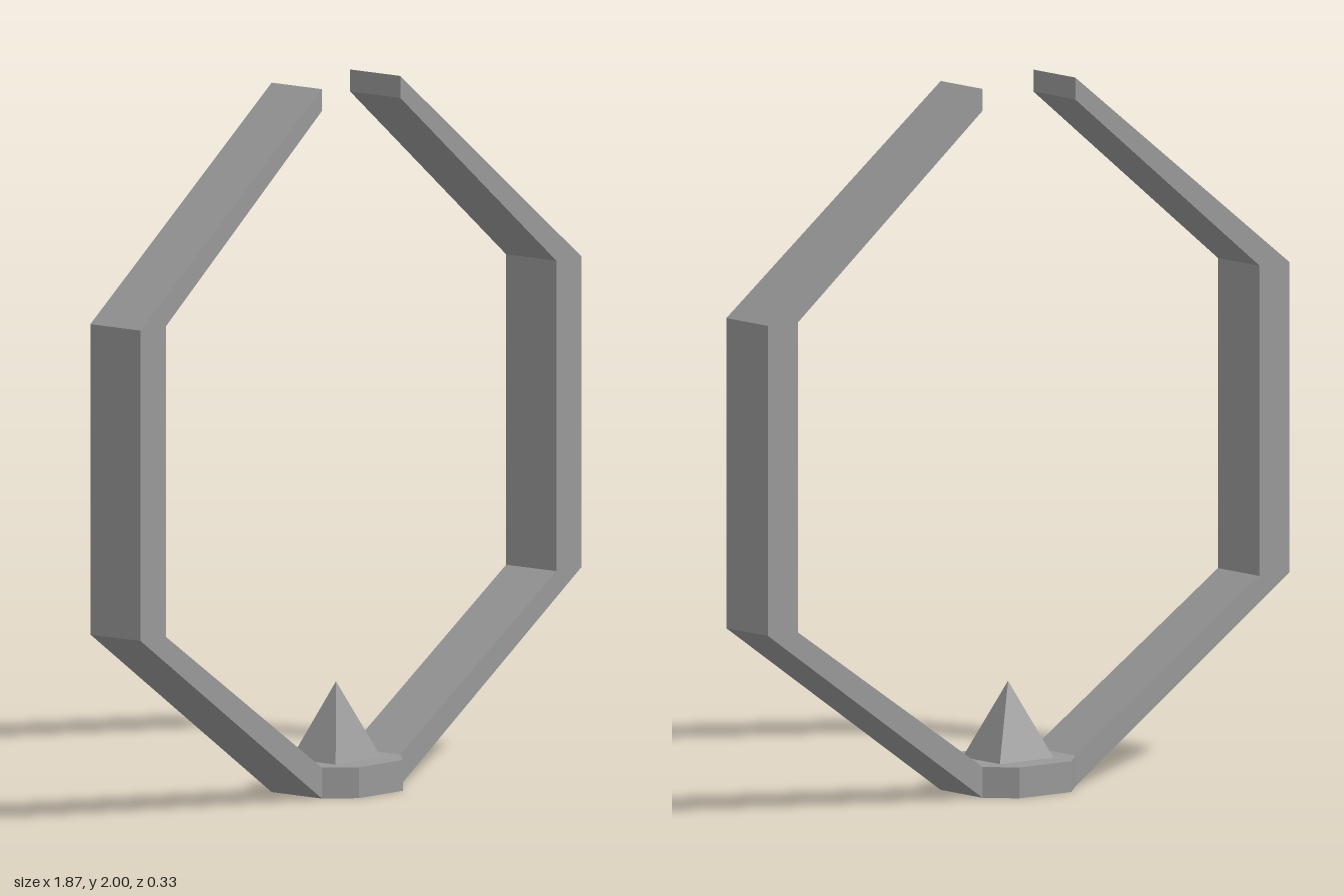
import * as THREE from 'three';

export function createModel() {
  const group = new THREE.Group();
  const grey = new THREE.MeshStandardMaterial({ color: 0x999999, flatShading: true, side: THREE.DoubleSide });
  grey.name = 'plain grey';

  const add = (name, geometry) => {
    const mesh = new THREE.Mesh(geometry, grey);
    mesh.name = name;
    group.add(mesh);
    return mesh;
  };

  const armHalf = 0.093, baseHalf = 0.166, baseTop = 0.087;

  // Bent arms: one profile, mirrored to the other side
  const profile = [
    [0.166, 0], [0.933, 0.53], [0.933, 1.405], [0.166, 2],
    [0.166, 1.938], [0.826, 1.405], [0.826, 0.53], [0.166, baseTop],
  ];
  for (const [name, side] of [['leftArm', 1], ['rightArm', -1]]) {
    const shape = new THREE.Shape(profile.map(([x, y]) => new THREE.Vector2(x * side, y)));
    const arm = new THREE.ExtrudeGeometry(shape, { depth: armHalf * 2, bevelEnabled: false });
    arm.translate(0, 0, -armHalf);
    add(name, arm);
  }

  // Base rim: eight walls, open underneath
  const a = armHalf, b = baseHalf;
  const outline = [[-a, b], [a, b], [b, a], [b, -a], [a, -b], [-a, -b], [-b, -a], [-b, a]];
  const rim = new THREE.CylinderGeometry(b, b, baseTop, 8, 1, true);
  const pos = rim.attributes.position;
  for (let i = 0; i < pos.count; i++) {
    const [x, z] = outline[(i % 9) % 8];
    pos.setX(i, x);
    pos.setZ(i, z);
  }
  rim.translate(0, baseTop / 2, 0);
  const flatRim = rim.toNonIndexed();
  flatRim.computeVertexNormals();
  add('baseRim', flatRim);

  // Base top, with an opening beneath the hollow spike
  const spikeX = 0.096, spikeZ = 0.083;
  const plate = new THREE.Shape(outline.map(([x, z]) => new THREE.Vector2(x, z)));
  plate.holes.push(new THREE.Path([
    new THREE.Vector2(-spikeX, -spikeZ), new THREE.Vector2(-spikeX, spikeZ),
    new THREE.Vector2(spikeX, spikeZ), new THREE.Vector2(spikeX, -spikeZ),
  ]));
  const top = new THREE.ShapeGeometry(plate);
  top.rotateX(-Math.PI / 2);
  top.translate(0, baseTop, 0);
  add('baseTop', top);

  // Four-sided spike
  const spikeHeight = 0.303 - baseTop;
  const spike = new THREE.ConeGeometry(Math.SQRT2, spikeHeight, 4, 1, true, Math.PI / 4);
  spike.scale(spikeX, 1, spikeZ);
  spike.translate(0, baseTop + spikeHeight / 2, 0);
  const flatSpike = spike.toNonIndexed();
  flatSpike.computeVertexNormals();
  add('spike', flatSpike);

  return group;
}
